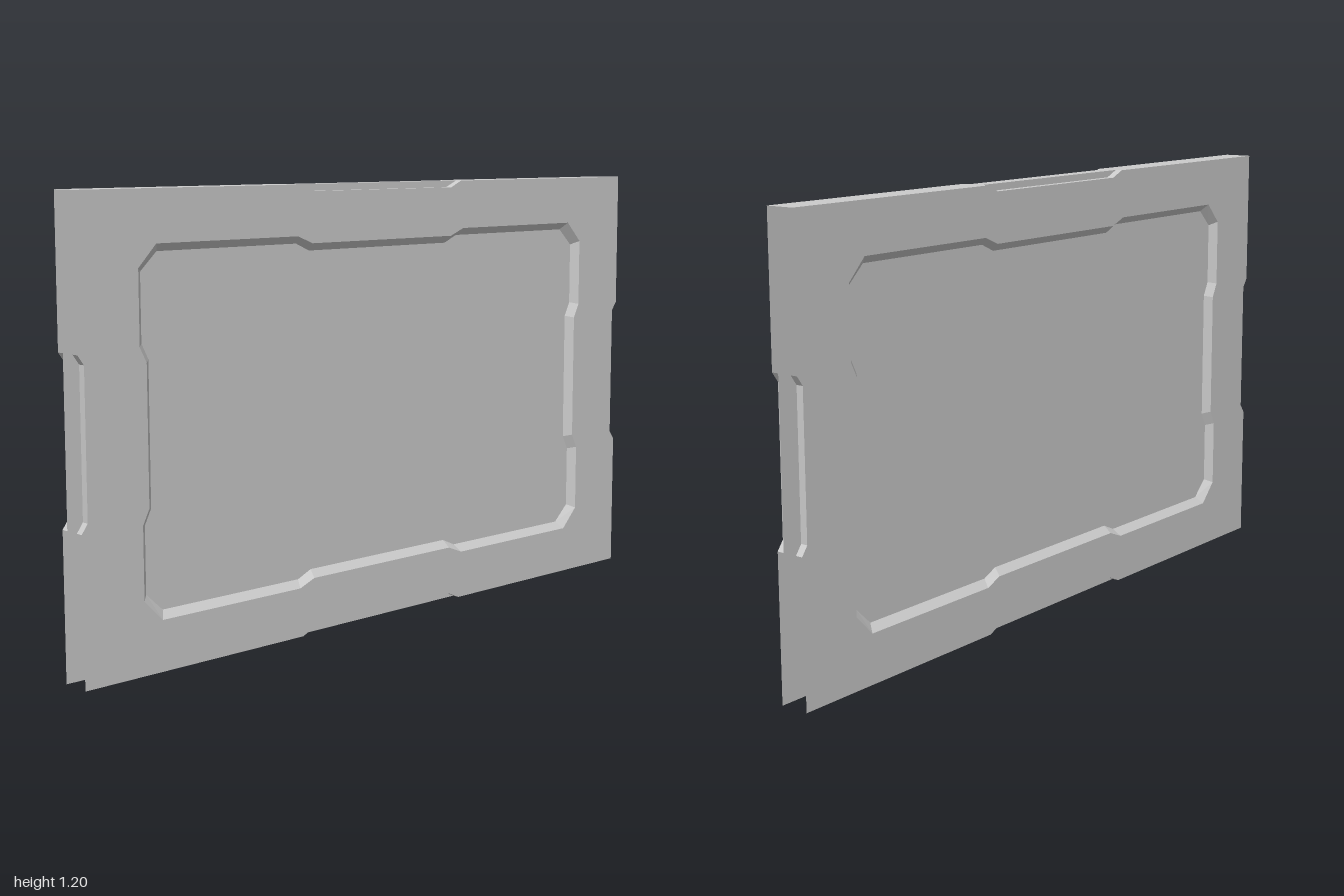
import * as THREE from 'three';

const material = new THREE.MeshStandardMaterial({ color: 0xcccccc, side: THREE.DoubleSide, flatShading: true });
const FACE = 0.04, INNER = 0.02; // half depth of the frame and of the inset panel

// Mirrors a first-quadrant run of points into a full counter-clockwise outline
function mirrorQuarter(quarter) {
  const flip = (sx, sy) => quarter.map(([x, y]) => [x * sx, y * sy]);
  return [...quarter, ...flip(-1, 1).reverse(), ...flip(-1, -1), ...flip(1, -1).reverse()];
}

const toVectors = (points) => points.map(([x, y]) => new THREE.Vector2(x, y));

// Flat-shaded band joining two matching runs of points at two depths
function band(a, za, b, zb, closed) {
  const positions = [];
  const count = closed ? a.length : a.length - 1;
  for (let i = 0; i < count; i++) {
    const j = (i + 1) % a.length;
    const a0 = [...a[i], za], a1 = [...a[j], za], b0 = [...b[i], zb], b1 = [...b[j], zb];
    positions.push(...a0, ...a1, ...b0, ...a1, ...b1, ...b0);
  }
  const geometry = new THREE.BufferGeometry();
  geometry.setAttribute('position', new THREE.Float32BufferAttribute(positions, 3));
  geometry.computeVertexNormals();
  return geometry;
}

function addMesh(parent, name, geometry) {
  const mesh = new THREE.Mesh(geometry, material);
  mesh.name = name;
  parent.add(mesh);
  return mesh;
}

// Outlines, centred on the middle of the frame
const border = mirrorQuarter([[0.982, 0.19], [1, 0.215], [1, 0.6], [0.3, 0.6], [0.26, 0.582]]);
const opening = mirrorQuarter([[0.8, 0.18], [0.82, 0.22], [0.82, 0.41], [0.765, 0.467], [0.31, 0.467], [0.26, 0.447]]);
const panelEdge = mirrorQuarter([[0.78, 0.185], [0.8, 0.225], [0.8, 0.4], [0.75, 0.447], [0.3, 0.447], [0.255, 0.427]]);

// Shallow grip notches in the four outer edges
const topNotch = [[0.3, 0.6], [0.26, 0.582], [-0.26, 0.582], [-0.3, 0.6]];
const sideNotch = [[1, -0.215], [0.982, -0.19], [0.982, 0.19], [1, 0.215]];
const opposite = (points) => points.map(([x, y]) => [-x, -y]);
const notches = {
  topNotch, bottomNotch: opposite(topNotch),
  rightNotch: sideNotch, leftNotch: opposite(sideNotch),
};

function createFace(name) {
  const face = new THREE.Group();
  face.name = name;

  // Thin frame plate around the opening
  const plate = new THREE.Shape(toVectors(border));
  plate.holes.push(new THREE.Path(toVectors(opening)));
  addMesh(face, 'framePlate', new THREE.ShapeGeometry(plate)).position.z = FACE;

  // Bevel sloping down to the inset panel
  addMesh(face, 'openingBevel', band(opening, FACE, panelEdge, INNER, true));

  // Each notch has a floor and a wall behind it
  for (const [label, points] of Object.entries(notches)) {
    addMesh(face, label + 'Floor', band(points, INNER, points, FACE, false));
    const wall = new THREE.ShapeGeometry(new THREE.Shape(toVectors(points)));
    addMesh(face, label + 'Wall', wall).position.z = INNER;
  }
  return face;
}

export function createModel() {
  const model = new THREE.Group();
  model.name = 'framedPanel';
  const body = new THREE.Group();
  body.name = 'panelBody';
  body.position.y = 0.6;
  model.add(body);

  // Matching front and back faces
  const back = createFace('backFace');
  back.rotation.y = Math.PI;
  body.add(createFace('frontFace'), back);

  // Inset panel filling the opening
  const slab = new THREE.ExtrudeGeometry(new THREE.Shape(toVectors(panelEdge)), { depth: 2 * INNER, bevelEnabled: false });
  addMesh(body, 'insetPanel', slab).position.z = -INNER;

  // Top cover, cut back at the notches; the sides and bottom stay open
  const cover = new THREE.Shape(toVectors(mirrorQuarter([[1, FACE], [0.3, FACE], [0.3, INNER]])));
  const top = addMesh(body, 'topCover', new THREE.ShapeGeometry(cover));
  top.rotation.x = -Math.PI / 2;
  top.position.y = 0.6;

  return model;
}
